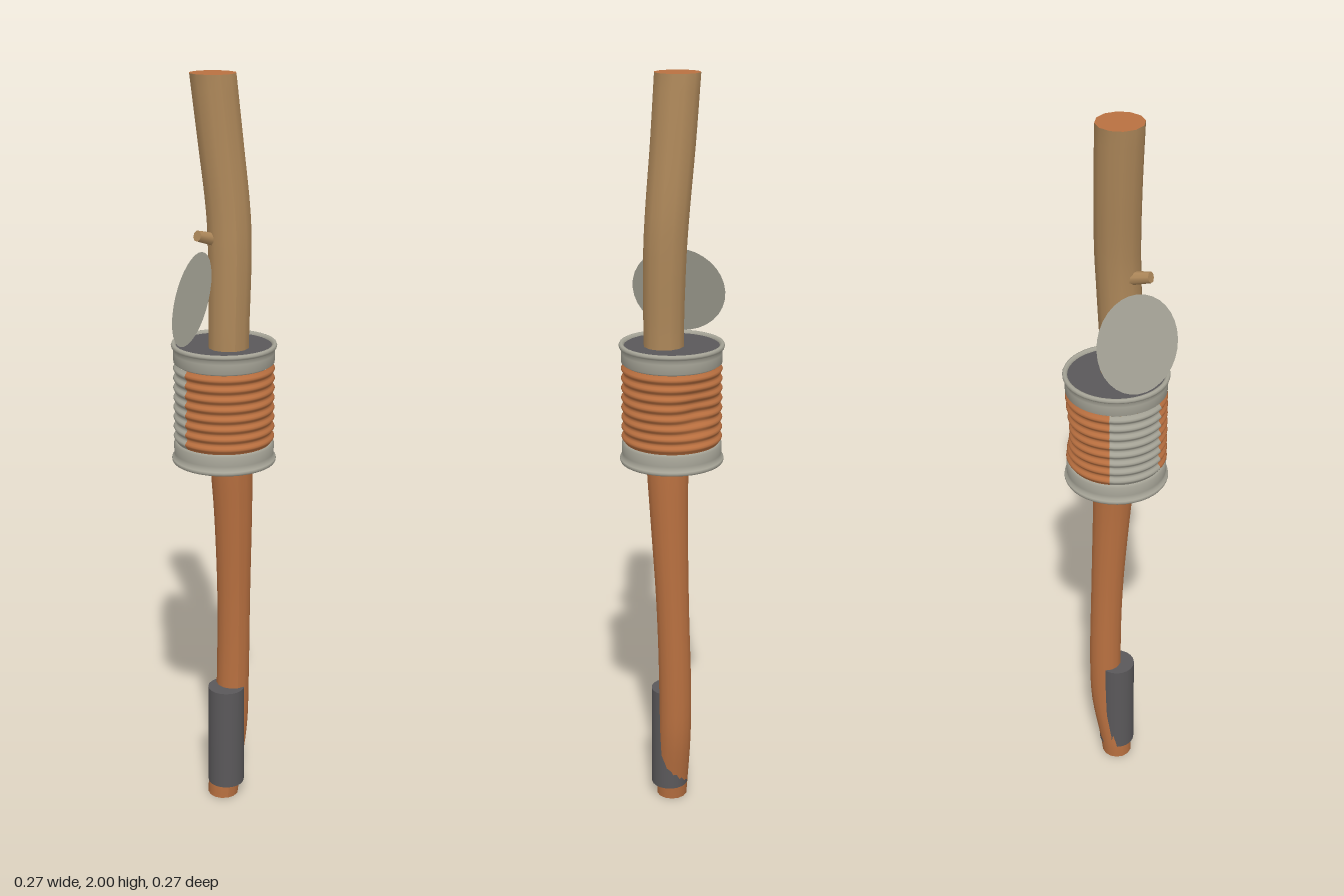
import * as THREE from 'three';

const mat = (name, color, side = THREE.FrontSide) => {
  const m = new THREE.MeshStandardMaterial({ color, side });
  m.name = name;
  return m;
};

// Smooth rod through horizontal rings [x, y, z, radius], listed bottom to top
function rod(rings, sides = 12, steps = 16) {
  const path = new THREE.CatmullRomCurve3(rings.map(r => new THREE.Vector3(r[0], r[1], r[2])));
  const size = new THREE.CatmullRomCurve3(rings.map(r => new THREE.Vector3(r[3], r[1], 0)));
  const geo = new THREE.CylinderGeometry(1, 1, 1, sides, steps, true);
  const p = geo.attributes.position;
  for (let i = 0; i < p.count; i++) {
    const t = p.getY(i) + 0.5;
    const c = path.getPoint(t), r = size.getPoint(t).x;
    p.setXYZ(i, c.x + p.getX(i) * r, c.y, c.z + p.getZ(i) * r);
  }
  geo.computeVertexNormals();
  return geo;
}

// Pushes the can wall inwards around its back right side
function dent(geo) {
  const p = geo.attributes.position;
  for (let i = 0; i < p.count; i++) {
    const x = p.getX(i), y = p.getY(i), z = p.getZ(i);
    const d = Math.atan2(x, z) - Math.PI * 0.75;
    const a = Math.atan2(Math.sin(d), Math.cos(d));
    const k = 1 - 0.13 * Math.exp(-((a / 0.4) ** 2) - (((y - 1.165) / 0.055) ** 2));
    p.setX(i, x * k);
    p.setZ(i, z * k);
  }
  geo.computeVertexNormals();
  return geo;
}

export function createModel() {
  const group = new THREE.Group();
  const bark = mat('tan bark', 0xae885a);
  const wood = mat('bare orange wood', 0xb87040);
  const label = mat('orange label', 0xba7040);
  const tin = mat('grey tin', 0xa6a497, THREE.DoubleSide);
  const dark = mat('dark grey', 0x5a585a);
  const add = (name, geo, material, x = 0, y = 0, z = 0, parent = group) => {
    const mesh = new THREE.Mesh(geo, material);
    mesh.name = name;
    mesh.position.set(x, y, z);
    parent.add(mesh);
    return mesh;
  };

  // Crooked stick: bare handle below the can, bark above it
  add('handle', rod([
    [-0.002, 0, 0, 0.042], [0.002, 0.05, -0.002, 0.044], [0.026, 0.2, -0.014, 0.045],
    [0.031, 0.35, -0.016, 0.045], [0.031, 0.6, -0.009, 0.045],
    [0.025, 0.85, 0.002, 0.051], [0.018, 1.0, 0.008, 0.056], [0.01, 1.17, 0.015, 0.055],
  ], 14, 28), wood);
  add('upperStick', rod([
    [0.01, 1.17, 0.015, 0.054], [0.006, 1.32, 0.02, 0.053], [0.01, 1.55, 0.016, 0.056],
    [0.008, 1.66, 0.01, 0.057], [-0.008, 1.83, -0.001, 0.058], [-0.026, 2, -0.009, 0.059],
  ], 12, 20), bark);
  add('stickTop', new THREE.CircleGeometry(0.059, 12).rotateX(-Math.PI / 2), wood, -0.026, 2, -0.009);
  add('stickBottom', new THREE.CircleGeometry(0.042, 14).rotateX(Math.PI / 2), wood, -0.002, 0, 0);

  // Twig stump
  const from = new THREE.Vector3(-0.02, 1.593, 0.012), to = new THREE.Vector3(-0.083, 1.613, 0.041);
  const twig = add('twigStump', new THREE.CylinderGeometry(0.014, 0.018, from.distanceTo(to), 8), bark);
  twig.position.copy(from).lerp(to, 0.5);
  twig.quaternion.setFromUnitVectors(new THREE.Vector3(0, 1, 0), to.clone().sub(from).normalize());

  // Dark grip sleeve near the bottom
  add('gripSleeve', new THREE.CylinderGeometry(0.05, 0.05, 0.295, 20), dark, 0.005, 0.188, 0.005);

  // Tin can: ribbed wall, part label and part bare metal
  const can = new THREE.Group();
  can.name = 'can';
  group.add(can);
  const ribs = [];
  for (let i = 0; i <= 48; i++) {
    const t = i / 48;
    ribs.push(new THREE.Vector2(0.128 - 0.004 * Math.cos(t * Math.PI * 16), 1.06 + 0.21 * t));
  }
  const start = Math.PI * 1.25, bare = Math.PI * 0.375;
  add('bareWall', dent(new THREE.LatheGeometry(ribs, 12, start, bare)), tin, 0, 0, 0, can);
  add('labelWall', dent(new THREE.LatheGeometry(ribs, 52, start + bare, Math.PI * 2 - bare)), label, 0, 0, 0, can);

  // Rolled rims, mirrored about the middle of the can
  const rim = [[0.124, 1.06], [0.131, 1.055], [0.131, 1.03], [0.13, 1.02], [0.136, 1.016],
    [0.137, 1.011], [0.135, 1.006], [0.13, 1.005], [0.125, 1.008], [0.124, 1.014]];
  const topRim = rim.map(([r, y]) => new THREE.Vector2(r, 2.33 - y));
  const bottomRim = rim.map(([r, y]) => new THREE.Vector2(r, y)).reverse();
  add('topRim', new THREE.LatheGeometry(topRim, 40), tin, 0, 0, 0, can);
  add('bottomRim', new THREE.LatheGeometry(bottomRim, 40), tin, 0, 0, 0, can);
  add('canTop', new THREE.CircleGeometry(0.126, 40).rotateX(-Math.PI / 2), dark, 0, 1.317, 0, can);
  add('canBottom', new THREE.CircleGeometry(0.126, 40).rotateX(Math.PI / 2), dark, 0, 1.013, 0, can);

  // Cut lid standing up from the rim and leaning inwards
  const lid = add('lid', new THREE.CircleGeometry(0.123, 32).rotateY(-Math.PI / 2), tin, -0.087, 1.443, 0, can);
  lid.rotation.z = -0.31;

  return group;
}
